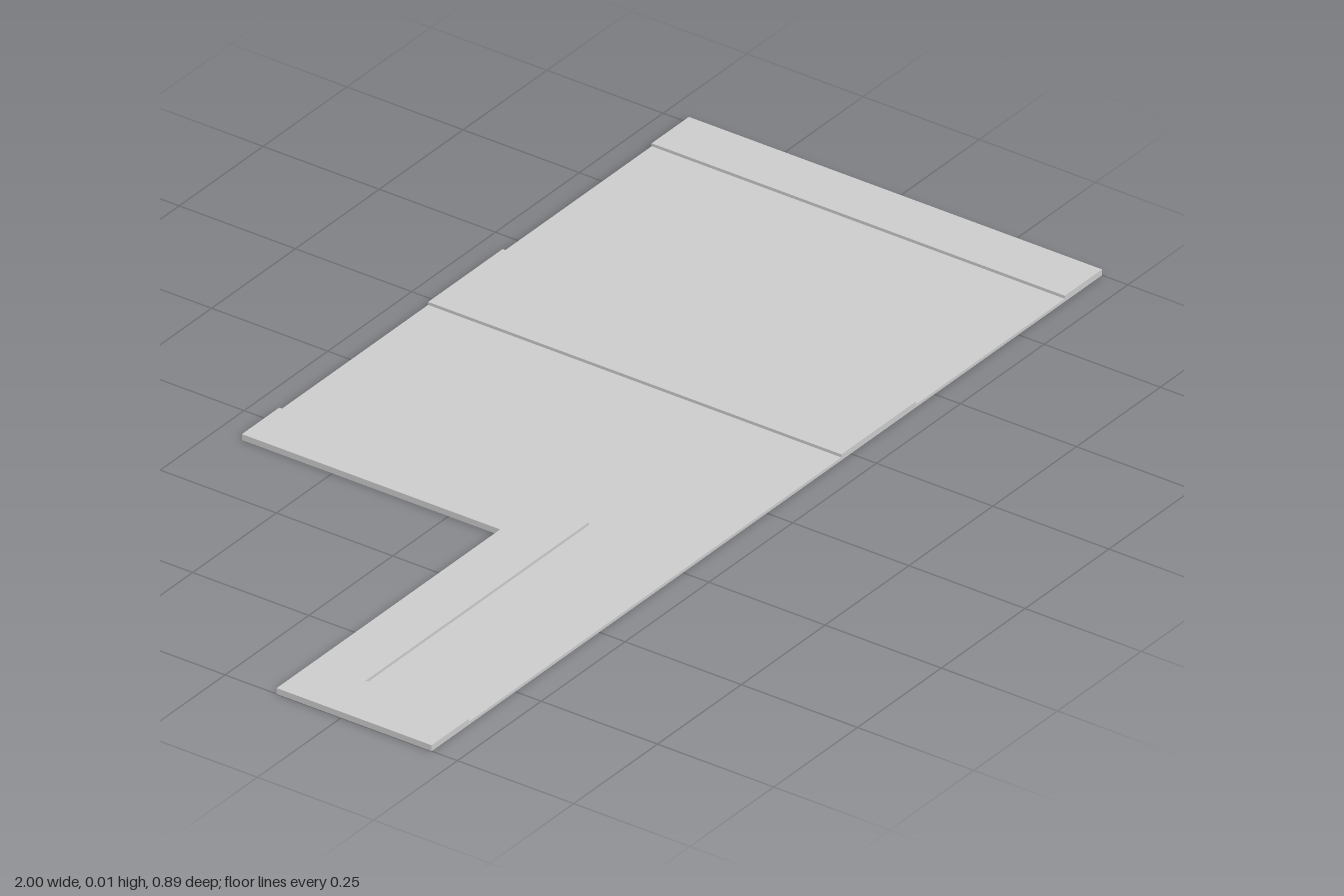
import * as THREE from 'three';

const U = 1 / 9;         // layout module
const BASE = 0.006;      // floor slab thickness
const TOP = 0.012;       // height of the raised bands

// Flat slab from a plan outline of [x, z] points given in modules
function slab(name, outline, bottom, top, material) {
  const shape = new THREE.Shape(outline.map(([x, z]) => new THREE.Vector2(x * U, -z * U)));
  const geometry = new THREE.ExtrudeGeometry(shape, { depth: top - bottom, bevelEnabled: false });
  geometry.rotateX(-Math.PI / 2);
  geometry.translate(0, bottom, 0);
  const mesh = new THREE.Mesh(geometry, material);
  mesh.name = name;
  return mesh;
}

const strip = (x0, x1) => [[x0, -4], [x0, 4], [x1, 4], [x1, -4]];

export function createModel() {
  const group = new THREE.Group();
  group.name = 'steppedPlate';
  const material = new THREE.MeshStandardMaterial({ color: 0xcccccc });

  // L-shaped floor: wide body with a narrow arm
  group.add(slab('floorPlate',
    [[-9, 1], [-9, 4], [9, 4], [9, -4], [-3, -4], [-3, 1]], 0, BASE, material));

  // Raised band following the arm's end, its back edge and the body's side
  group.add(slab('armBorder',
    [[-9, 1], [-9, 4], [-8, 4], [-8, 2], [-2, 2], [-2, -4], [-3, -4], [-3, 1]], BASE, TOP, material));

  // Raised bands across the body
  group.add(slab('middleBand', strip(2, 4), BASE, TOP, material));
  group.add(slab('endBand', strip(8, 9), BASE, TOP, material));

  return group;
}
